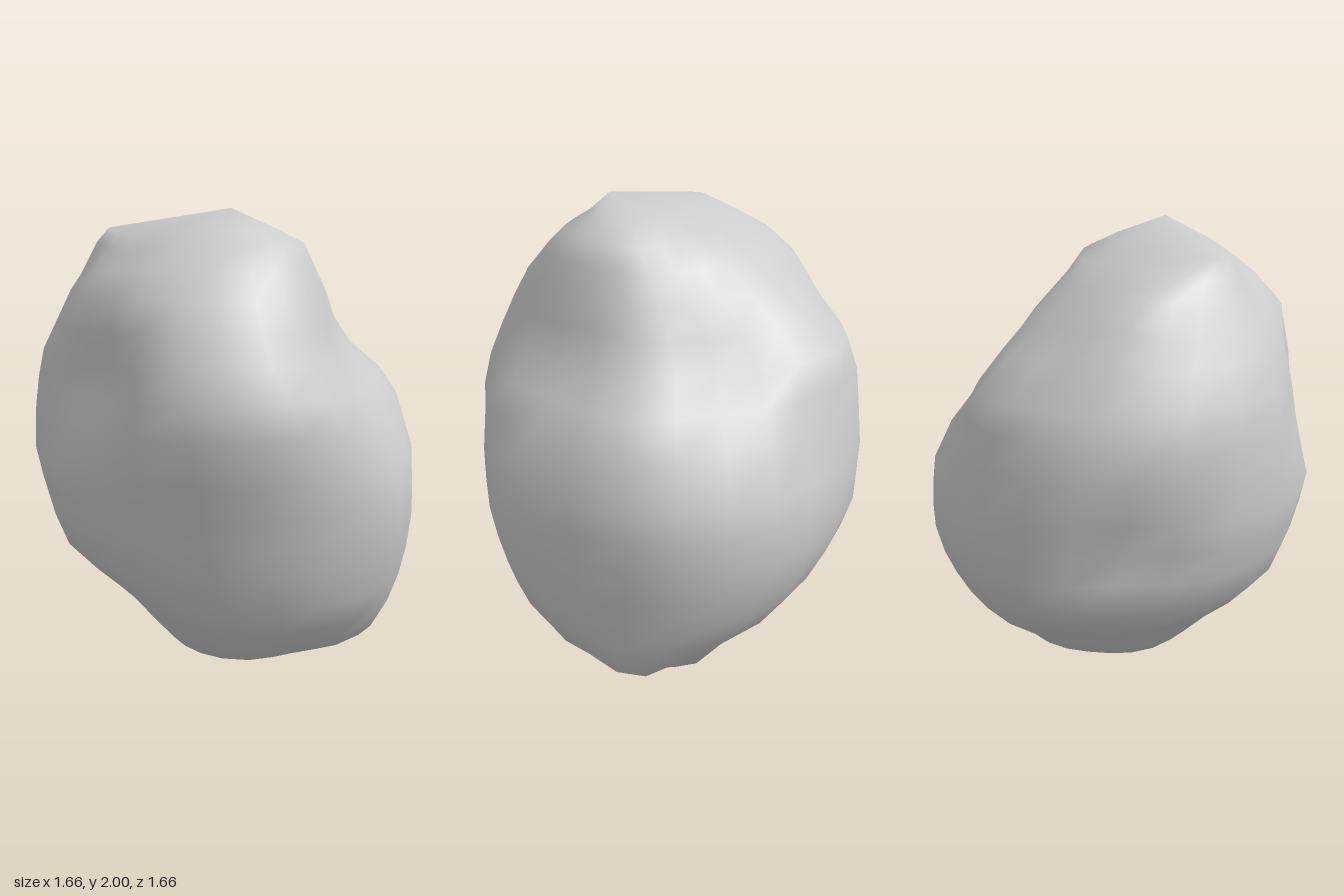
import * as THREE from 'three';

// Outline of the boulder by height: [y, xMin, xMax, zMin, zMax]
const LEVELS = [
  [0.03, -0.02, 0.41, -0.22, 0.2],
  [0.1, -0.27, 0.58, -0.4, 0.39],
  [0.18, -0.36, 0.68, -0.48, 0.47],
  [0.32, -0.5, 0.75, -0.64, 0.59],
  [0.45, -0.63, 0.79, -0.73, 0.65],
  [0.58, -0.74, 0.81, -0.79, 0.69],
  [0.72, -0.79, 0.82, -0.83, 0.72],
  [0.85, -0.82, 0.82, -0.83, 0.74],
  [0.98, -0.84, 0.81, -0.83, 0.77],
  [1.17, -0.82, 0.75, -0.8, 0.8],
  [1.3, -0.8, 0.68, -0.76, 0.79],
  [1.42, -0.77, 0.58, -0.7, 0.77],
  [1.55, -0.7, 0.5, -0.58, 0.72],
  [1.67, -0.64, 0.44, -0.44, 0.65],
  [1.78, -0.58, 0.38, -0.3, 0.55],
  [1.86, -0.54, 0.34, -0.18, 0.46],
  [1.92, -0.49, 0.22, -0.03, 0.37],
];

// Hollows (negative) and swellings (positive): [x, y, z, reach, amount]
const FEATURES = [
  [0.58, 1.36, 0.2, 0.25, -0.08],    // flat right shoulder
  [0.68, 1.22, -0.2, 0.22, 0.04],    // swelling behind it
  [0.42, 1.42, -0.5, 0.33, -0.14],   // sloping back right shoulder
  [0.28, 1.74, -0.2, 0.2, -0.04],    // notch beside the summit
  [-0.42, 1.72, -0.28, 0.2, 0.08],   // high back left ridge
  [-0.4, 1.85, 0.36, 0.2, -0.07],    // cut front left of the summit
  [-0.49, 1.35, 0.59, 0.23, -0.18],  // front hollow
  [0.1, 1.17, 0.82, 0.25, 0.04],     // front swelling
  [-0.7, 0.85, -0.44, 0.23, -0.12],  // left hollow
  [0.12, 1.2, -0.8, 0.18, -0.06],    // back groove
  [-0.15, 1.4, -0.72, 0.18, 0.05],   // swelling beside the groove
  [0.74, 0.75, 0.4, 0.28, 0.05],     // full front right flank
  [-0.45, 0.25, 0.4, 0.26, -0.06],   // undercut front corner
  [-0.35, 0.2, -0.4, 0.25, -0.06],   // undercut back corner
  [0.4, 0.1, 0.35, 0.2, -0.05],      // undercut front right
  [0.72, 0.16, -0.25, 0.15, 0.11],   // lower right corner
  [0.38, 0.04, -0.33, 0.12, 0.05],   // back foot
];

const SIDES = 24;
const CENTRE = new THREE.Vector3(0, 0.95, 0);

// Squarish ellipse with a different reach on each side
function ringPoint([y, x0, x1, z0, z1], i) {
  const a = (i / SIDES) * Math.PI * 2;
  const c = Math.cos(a), s = Math.sin(a), e = 2 / 2.2;
  const cx = (x0 + x1) / 2, cz = (z0 + z1) / 2;
  return new THREE.Vector3(
    cx + Math.sign(c) * Math.abs(c) ** e * (x1 - x0) / 2,
    y,
    cz + Math.sign(s) * Math.abs(s) ** e * (z1 - z0) / 2
  );
}

// Push a point towards or away from the centre near each feature
function sculpt(p) {
  const out = p.clone();
  for (const [x, y, z, reach, amount] of FEATURES) {
    const d2 = p.distanceToSquared(new THREE.Vector3(x, y, z));
    const dir = new THREE.Vector3(x, y, z).sub(CENTRE).setY((y - CENTRE.y) * 0.3).normalize();
    out.addScaledVector(dir, amount * Math.exp(-d2 / (reach * reach)));
  }
  out.y = Math.max(out.y, 0.01);
  return out;
}

function boulderGeometry() {
  const positions = [], index = [];
  for (const level of LEVELS) {
    for (let i = 0; i < SIDES; i++) positions.push(...sculpt(ringPoint(level, i)).toArray());
  }
  const bottom = positions.length / 3, top = bottom + 1;
  positions.push(0.13, 0, 0.1, 0.05, 2, 0.25);
  const last = (LEVELS.length - 1) * SIDES;
  for (let i = 0; i < SIDES; i++) {
    const j = (i + 1) % SIDES;
    for (let r = 0; r < last; r += SIDES) {
      index.push(r + i, r + SIDES + i, r + j, r + j, r + SIDES + i, r + SIDES + j);
    }
    index.push(bottom, i, j, top, last + j, last + i);
  }
  const geometry = new THREE.BufferGeometry();
  geometry.setAttribute('position', new THREE.Float32BufferAttribute(positions, 3));
  geometry.setIndex(index);
  geometry.computeVertexNormals();
  return geometry;
}

export function createModel() {
  const group = new THREE.Group();
  group.name = 'rock';
  const boulder = new THREE.Mesh(
    boulderGeometry(),
    new THREE.MeshStandardMaterial({ color: 0xcccccc })
  );
  boulder.name = 'boulder';
  group.add(boulder);
  return group;
}
